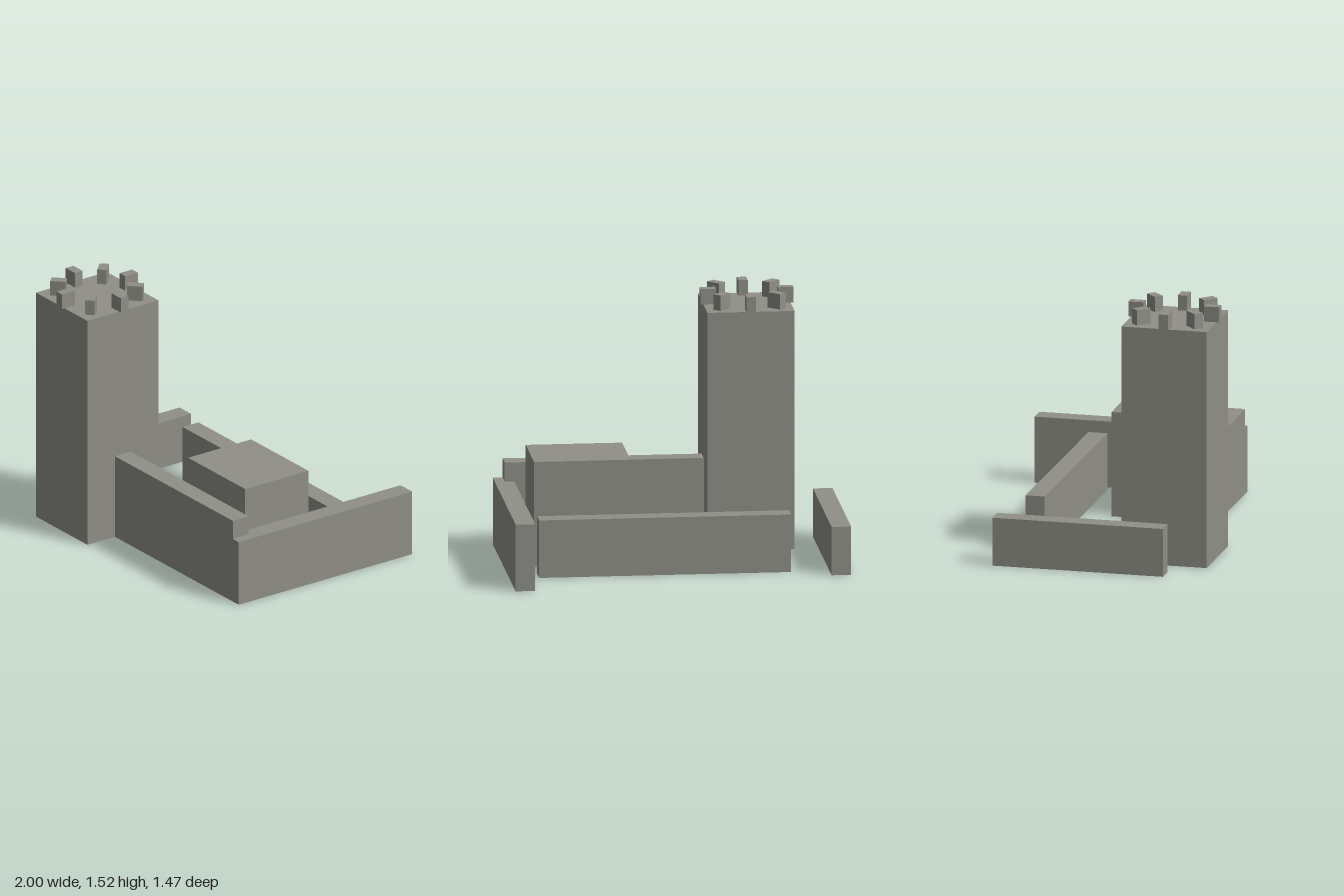
import * as THREE from 'three';

export function createModel() {
  const castle = new THREE.Group();
  castle.name = 'castle';
  const stone = new THREE.MeshStandardMaterial({ color: 0x909088 });
  stone.name = 'grey stone';

  // Block given by its extents, standing on the ground
  function block(name, x0, x1, z0, z1, height) {
    const mesh = new THREE.Mesh(new THREE.BoxGeometry(x1 - x0, height, z1 - z0), stone);
    mesh.position.set((x0 + x1) / 2, height / 2, (z0 + z1) / 2);
    mesh.name = name;
    castle.add(mesh);
  }

  // Curtain walls, each of its own height
  block('frontWall', -0.48, 0.942, 0.405, 0.52, 0.515);
  block('leftWall', 0.885, 1, -0.737, 0.52, 0.4);
  block('backWall', -0.657, 0.825, -0.397, -0.282, 0.345);
  block('rightWall', -1, -0.885, -0.51, 0.52, 0.29);

  // Inner keep
  block('keep', 0.257, 0.825, -0.112, 0.345, 0.632);

  // Corner tower
  const towerX = -0.487, towerZ = 0.461, half = 0.257, towerTop = 1.43;
  block('tower', towerX - half, towerX + half, towerZ - half, towerZ + half, towerTop);

  // Ring of eight merlons, each with its long side pointing outward
  const battlements = new THREE.Group();
  battlements.name = 'battlements';
  battlements.position.set(towerX, towerTop, towerZ);
  const merlonGeometry = new THREE.BoxGeometry(0.092, 0.092, 0.056);
  for (let i = 0; i < 8; i++) {
    const angle = (i * Math.PI) / 4;
    const merlon = new THREE.Mesh(merlonGeometry, stone);
    merlon.name = 'merlon';
    merlon.position.set(Math.cos(angle) * 0.228, 0.046, -Math.sin(angle) * 0.228);
    merlon.rotation.y = angle;
    battlements.add(merlon);
  }
  castle.add(battlements);

  return castle;
}
